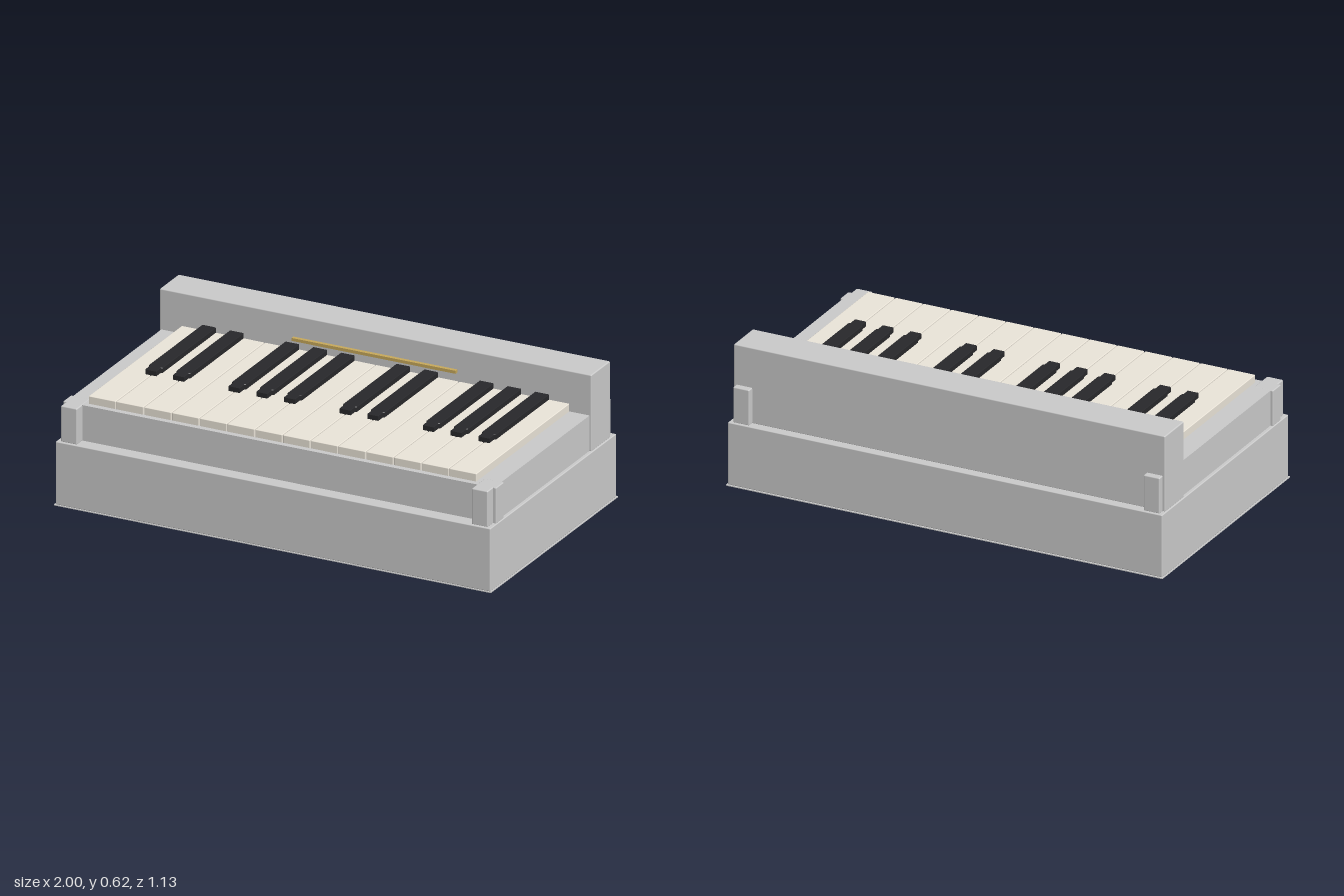
import * as THREE from 'three';
import { RoundedBoxGeometry } from 'three/addons/geometries/RoundedBoxGeometry.js';

export function createModel() {
  const model = new THREE.Group();
  model.name = 'keyboard';
  const grey = new THREE.MeshStandardMaterial({ color: 0xcccccc });
  const ivory = new THREE.MeshStandardMaterial({ color: 0xece6da });
  const ebony = new THREE.MeshStandardMaterial({ color: 0x28282b });
  const brass = new THREE.MeshStandardMaterial({ color: 0xc8aa5c });

  // Box given by its limits on each axis, with an optional softened edge
  function block(name, [x0, x1], [y0, y1], [z0, z1], material, radius = 0, parent = model) {
    const size = [x1 - x0, y1 - y0, z1 - z0];
    const geometry = radius
      ? new RoundedBoxGeometry(...size, 2, radius)
      : new THREE.BoxGeometry(...size);
    const mesh = new THREE.Mesh(geometry, material);
    mesh.position.set((x0 + x1) / 2, (y0 + y1) / 2, (z0 + z1) / 2);
    mesh.name = name;
    parent.add(mesh);
    return mesh;
  }

  // Case: foot plate, plinth, key bed and tall back panel
  block('footPlate', [-1, 1], [0, 0.004], [-0.565, 0.565], grey);
  block('plinth', [-0.995, 0.995], [0.003, 0.281], [-0.558, 0.56], grey, 0.004);
  block('keyBed', [-0.98, 0.98], [0.278, 0.437], [-0.4, 0.5], grey);
  block('backPanel', [-0.988, 0.988], [0.278, 0.616], [-0.518, -0.35], grey, 0.005);

  // Corner posts, mirrored left and right
  for (const side of [-1, 1]) {
    const span = (a, b) => (side > 0 ? [a, b] : [-b, -a]);
    const label = side > 0 ? 'left' : 'right';
    block(label + 'FrontPost', span(0.903, 0.977), [0.278, 0.438], [0.43, 0.548], grey, 0.005);
    block(label + 'FrontPostCheek', span(0.94, 0.991), [0.278, 0.438], [0.43, 0.5], grey, 0.004);
    block(label + 'BackPost', span(0.903, 0.977), [0.278, 0.438], [-0.546, -0.5], grey, 0.005);
  }

  // White keys: two octaves
  const pitch = 1.778 / 14;
  const whiteKeys = new THREE.Group();
  whiteKeys.name = 'whiteKeys';
  model.add(whiteKeys);
  for (let i = 0; i < 14; i++) {
    const x = -0.889 + i * pitch;
    block('whiteKey', [x + 0.002, x + pitch - 0.002], [0.434, 0.471], [-0.352, 0.475],
      ivory, 0.003, whiteKeys);
  }

  // Black keys: outline with a narrower front tip, softened top edge
  const outline = new THREE.Shape([
    [-0.03, -0.35], [0.03, -0.35], [0.03, 0.12], [0.023, 0.124],
    [0.023, 0.164], [-0.023, 0.164], [-0.023, 0.124], [-0.03, 0.12],
  ].map(([x, z]) => new THREE.Vector2(x, -z)).reverse());
  const blackGeometry = new THREE.ExtrudeGeometry(outline, {
    depth: 0.022, bevelThickness: 0.003, bevelSize: 0.002, bevelSegments: 1,
  });
  blackGeometry.rotateX(-Math.PI / 2);
  const blackKeys = new THREE.Group();
  blackKeys.name = 'blackKeys';
  model.add(blackKeys);
  for (const i of [1, 2, 4, 5, 6, 8, 9, 11, 12, 13]) {
    const key = new THREE.Mesh(blackGeometry, ebony);
    key.name = 'blackKey';
    key.position.set(-0.889 + i * pitch, 0.469, 0);
    blackKeys.add(key);
  }

  // Thin brass strip on the back panel
  block('brassStrip', [-0.375, 0.375], [0.51, 0.523], [-0.352, -0.333], brass);

  return model;
}
